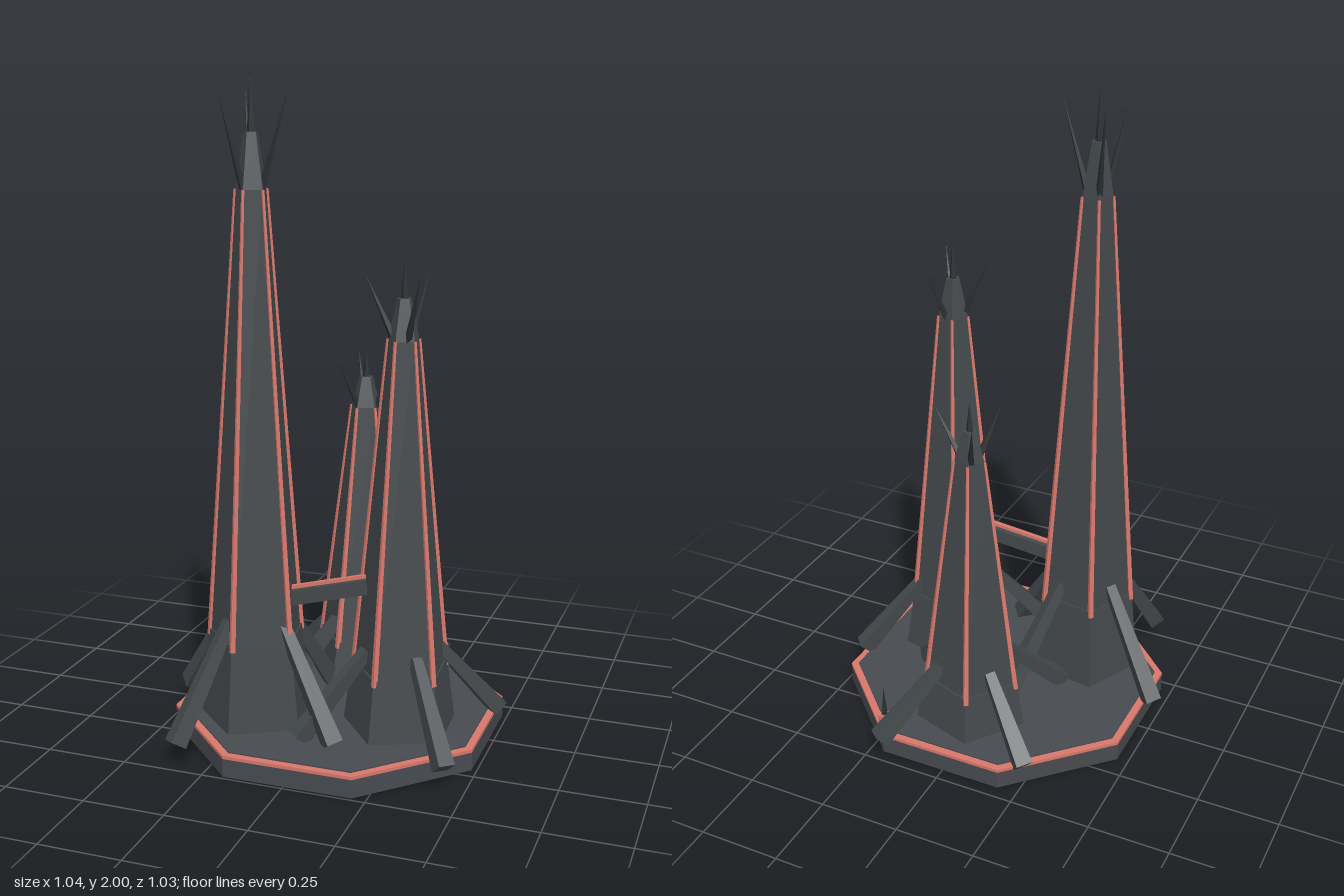
import * as THREE from 'three';

const mat = (name, color) => {
  const m = new THREE.MeshStandardMaterial({ color, flatShading: true });
  m.name = name;
  return m;
};
const rad = THREE.MathUtils.degToRad;
const V = (x, y, z) => new THREE.Vector3(x, y, z);
// Point at a radius, height and heading (degrees, from +x towards +z)
const polar = (r, y, deg) => V(r * Math.cos(rad(deg)), y, r * Math.sin(rad(deg)));

export function createModel() {
  const stone = mat('dark stone', 0x43484b);
  const slab = mat('base stone', 0x474a4f);
  const iron = mat('black iron', 0x2c3134);
  const glow = mat('red trim', 0xd8776b);

  const model = new THREE.Group();
  model.name = 'spireCluster';

  const add = (parent, name, geometry, material) => {
    const mesh = new THREE.Mesh(geometry, material);
    mesh.name = name;
    parent.add(mesh);
    return mesh;
  };

  // Upright prism or frustum from y0 to y1, with a corner at the given heading
  const prism = (parent, name, rBottom, rTop, y0, y1, sides, heading, material) => {
    const g = new THREE.CylinderGeometry(rTop, rBottom, y1 - y0, sides, 1, false, rad(90 - heading));
    const mesh = add(parent, name, g, material);
    mesh.position.y = (y0 + y1) / 2;
    return mesh;
  };

  // Tapered bar between two points
  const bar = (parent, name, a, b, rA, rB, sides, material) => {
    const d = b.clone().sub(a);
    const mesh = add(parent, name, new THREE.CylinderGeometry(rB, rA, d.length(), sides), material);
    mesh.position.copy(a).add(b).multiplyScalar(0.5);
    mesh.quaternion.setFromUnitVectors(V(0, 1, 0), d.normalize());
    return mesh;
  };

  // Octagonal base with a trimmed rim
  const base = new THREE.Group();
  base.name = 'base';
  base.position.set(0.01, 0, 0.015);
  prism(base, 'baseSlab', 0.514, 0.514, 0, 0.056, 8, 22.5, slab);
  prism(base, 'baseRim', 0.514, 0.514, 0.056, 0.066, 8, 22.5, glow);
  prism(base, 'baseTop', 0.49, 0.49, 0.06, 0.07, 8, 22.5, slab);
  model.add(base);

  // One tower: plinth, tapering shaft, edge trim, buttresses, crown
  const tower = (name, p) => {
    const t = new THREE.Group();
    t.name = name;
    t.position.set(p.x, 0, p.z);
    prism(t, 'plinth', 0.18, 0.151, 0.06, p.shoulder, 5, p.heading, stone);
    prism(t, 'shaft', 0.145, 0.047, p.shoulder, p.neck, 5, p.heading, stone);
    prism(t, 'cap', 0.047, 0.022, p.neck, p.top, 5, p.heading, stone);
    prism(t, 'finial', 0.012, 0, p.top, p.tip, 4, 0, iron);

    for (let i = 0; i < 5; i++) {
      const a = p.heading + i * 72;
      bar(t, 'edgeTrim', polar(0.147, p.shoulder - 0.02, a), polar(0.048, p.neck, a), 0.01, 0.005, 4, glow);
    }
    for (let i = 0; i < 4; i++) {
      const a = p.heading + i * 90;
      bar(t, 'buttress', polar(0.325, 0.075, a), polar(0.11, p.shoulder + 0.06, a), 0.036, 0.022, 4, stone);
    }
    for (let i = 0; i < 3; i++) {
      const a = p.thorn + i * 120;
      bar(t, 'thorn', polar(0.03, p.neck, a), polar(0.115, p.thornTip, a), 0.012, 0, 4, iron);
    }
    model.add(t);
  };

  tower('tallTower', { x: -0.197, z: 0.19, heading: 26, shoulder: 0.34, neck: 1.67, top: 1.83, tip: 2.0, thorn: 0, thornTip: 1.95 });
  tower('middleTower', { x: 0.238, z: 0.12, heading: -39, shoulder: 0.26, neck: 1.25, top: 1.37, tip: 1.49, thorn: 52, thornTip: 1.44 });
  tower('shortTower', { x: 0.01, z: -0.228, heading: 36, shoulder: 0.215, neck: 0.965, top: 1.06, tip: 1.15, thorn: 0, thornTip: 1.12 });

  // Sloping bridge between the two front towers
  const from = V(-0.1, 0.455, 0.174);
  const to = V(0.14, 0.507, 0.136);
  const bridge = new THREE.Group();
  bridge.name = 'bridge';
  const length = from.distanceTo(to);
  add(bridge, 'bridgeBeam', new THREE.BoxGeometry(0.05, 0.045, length), stone);
  add(bridge, 'bridgeTrim', new THREE.BoxGeometry(0.014, 0.012, length), glow).position.y = 0.027;
  bridge.position.copy(from).add(to).multiplyScalar(0.5);
  bridge.lookAt(to);
  model.add(bridge);

  // Small beacon on the back rim
  const beacon = new THREE.Group();
  beacon.name = 'beacon';
  beacon.position.set(0.22, 0, -0.423);
  prism(beacon, 'beaconPost', 0.02, 0.016, 0.06, 0.1, 4, 45, iron);
  prism(beacon, 'beaconLight', 0.022, 0.022, 0.1, 0.115, 4, 45, glow);
  prism(beacon, 'beaconSpike', 0.01, 0, 0.115, 0.215, 4, 45, iron);
  model.add(beacon);

  return model;
}
